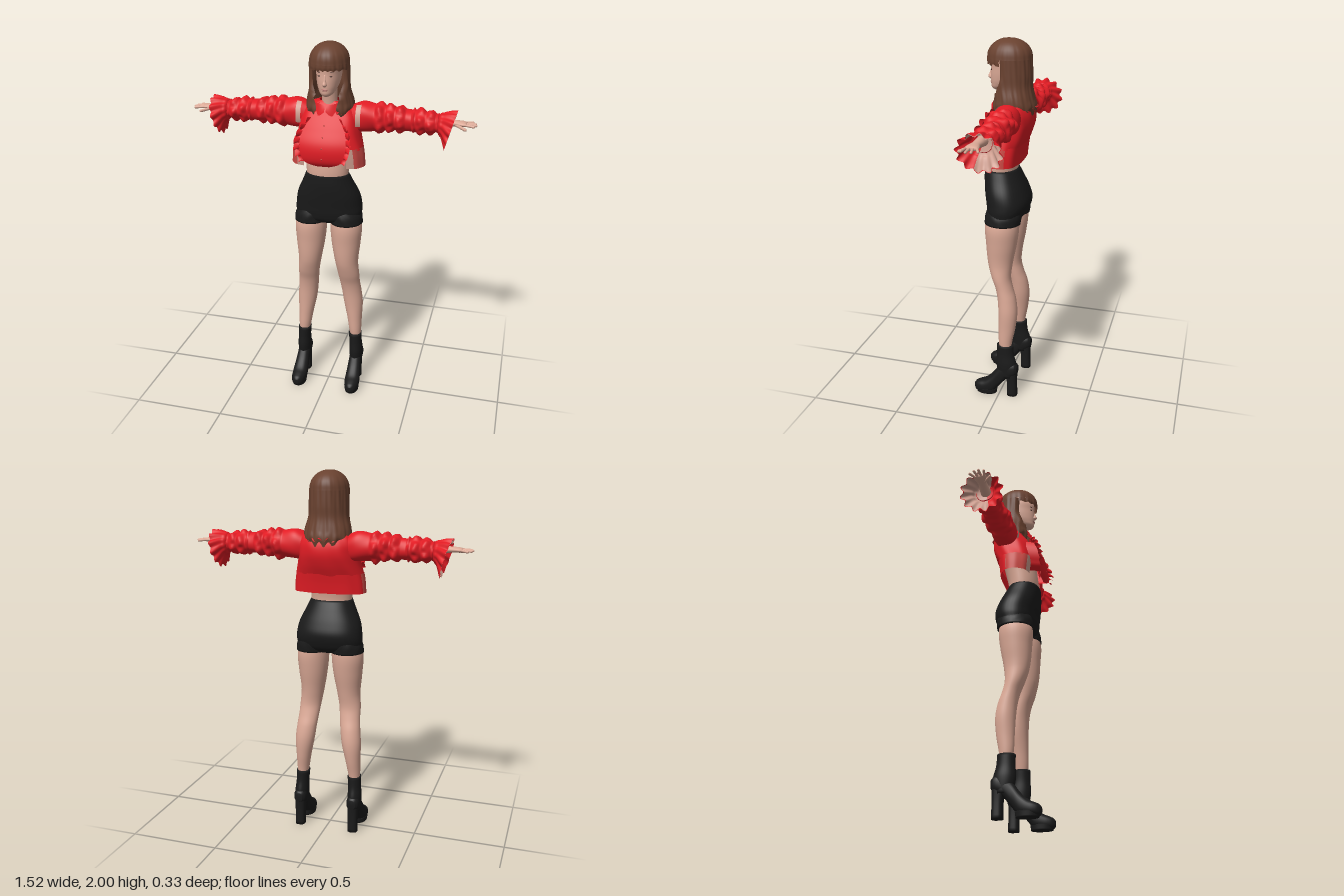
import * as THREE from 'three';

const TAU = Math.PI * 2, RAD = Math.PI / 180;
const mat = (name, color, double) => {
  const m = new THREE.MeshStandardMaterial({ color });
  m.name = name;
  if (double) m.side = THREE.DoubleSide;
  return m;
};

function finish(pos, idx) {
  const g = new THREE.BufferGeometry();
  g.setAttribute('position', new THREE.Float32BufferAttribute(pos, 3));
  g.setIndex(idx);
  g.computeVertexNormals();
  return g;
}

// Smooth interpolation of rows keyed by their first value
function curve(rows) {
  const it = new THREE.CubicInterpolant(rows.map(r => r[0]), rows.flatMap(r => r.slice(1)), rows[0].length - 1);
  return t => Array.from(it.evaluate(t));
}

// Loft of elliptic sections along an axis; rows: [t, centre1, centre2, radius1, radius2], t increasing
function loft(axis, rows, { n = 32, k = 5, from, to, e = 1, wob, caps = true } = {}) {
  const at = curve(rows), ts = [], pos = [], idx = [], open = !!from;
  rows.forEach((r, i) => {
    if (i) for (let j = 1; j <= k; j++) ts.push(THREE.MathUtils.lerp(rows[i - 1][0], r[0], j / k));
    else ts.push(r[0]);
  });
  const pow = v => Math.sign(v) * Math.abs(v) ** e;
  const put = (t, p, q) => pos.push(...(axis === 'y' ? [p, t, q] : axis === 'x' ? [t, p, q] : [p, q, t]));
  const m = open ? n + 1 : n;
  const tri = (a, b, c) => axis === 'y' ? idx.push(a, b, c) : idx.push(a, c, b);
  for (const t of ts) {
    const [c1, c2, r1, r2] = at(t), a0 = open ? from(t) : 0, a1 = open ? to(t) : TAU;
    for (let j = 0; j < m; j++) {
      const a = a0 + (a1 - a0) * j / n, f = wob ? wob(a, t, j / n) : 1;
      put(t, c1 + r1 * f * pow(Math.sin(a)), c2 + r2 * f * pow(Math.cos(a)));
    }
  }
  for (let i = 0; i < ts.length - 1; i++) for (let j = 0; j < n; j++) {
    const a = i * m + j, b = i * m + (j + 1) % m;
    tri(a, b, a + m); tri(b, b + m, a + m);
  }
  if (caps && !open) [0, ts.length - 1].forEach((i, end) => {
    const [c1, c2] = at(ts[i]), c = pos.length / 3;
    put(ts[i], c1, c2);
    for (let j = 0; j < n; j++) {
      const a = i * m + j, b = i * m + (j + 1) % n;
      end ? tri(c, a, b) : tri(c, b, a);
    }
  });
  return finish(pos, idx);
}

// Open surface from a rule (u, v) -> [x, y, z]
function sheet(nu, nv, rule) {
  const pos = [], idx = [];
  for (let i = 0; i <= nu; i++) for (let j = 0; j <= nv; j++) pos.push(...rule(i / nu, j / nv));
  for (let i = 0; i < nu; i++) for (let j = 0; j < nv; j++) {
    const a = i * (nv + 1) + j, b = a + nv + 1;
    idx.push(a, a + 1, b, b, a + 1, b + 1);
  }
  return finish(pos, idx);
}

function mirrored(geo) {
  const g = geo.clone().scale(-1, 1, 1), ix = g.index;
  for (let i = 0; i < ix.count; i += 3) {
    const a = ix.getX(i);
    ix.setX(i, ix.getX(i + 1)); ix.setX(i + 1, a);
  }
  g.computeVertexNormals();
  return g;
}

// Capsule between two points
function capsule(a, b, r) {
  const p = new THREE.Vector3(...a), d = new THREE.Vector3(...b).sub(p), len = d.length();
  const q = new THREE.Quaternion().setFromUnitVectors(new THREE.Vector3(0, 1, 0), d.clone().normalize());
  return new THREE.CapsuleGeometry(r, len, 4, 10).applyQuaternion(q).translate(...p.addScaledVector(d, 0.5).toArray());
}
const blob = (x, y, z, rx, ry, rz) => new THREE.SphereGeometry(1, 16, 10).scale(rx, ry, rz).translate(x, y, z);

export function createModel() {
  const model = new THREE.Group();
  const skin = mat('skin', 0xdba996), black = mat('black fabric', 0x1a1a1a), hair = mat('brown hair', 0x6a4230, true);
  const red = mat('red fabric', 0xe11c24, true);
  const sheer = mat('sheer fabric', 0xcf9f90, true), sheerRed = mat('sheer red fabric', 0xcf4a45, true);
  const dark = mat('dark detail', 0x4a3028), lip = mat('lips', 0xbd7c74);
  const add = (name, geo, m) => {
    const o = new THREE.Mesh(geo, m);
    o.name = name;
    model.add(o);
  };
  const pair = (name, geo, m) => { add('left' + name, geo, m); add('right' + name, mirrored(geo), m); };

  // Legs, torso and neck
  pair('Leg', loft('y', [[0.28, 0.155, -0.035, 0.026, 0.03], [0.33, 0.152, -0.033, 0.033, 0.037], [0.42, 0.145, -0.04, 0.042, 0.047],
    [0.52, 0.136, -0.043, 0.054, 0.053], [0.6, 0.127, -0.034, 0.056, 0.051], [0.66, 0.12, -0.018, 0.057, 0.048],
    [0.72, 0.115, 0, 0.06, 0.053], [0.8, 0.105, 0.008, 0.064, 0.068], [0.92, 0.1, 0.003, 0.08, 0.085], [1.02, 0.098, 0, 0.086, 0.093],
    [1.1, 0.088, -0.005, 0.07, 0.08]]), skin);
  add('torso', loft('y', [[1.28, 0, 0.022, 0.11, 0.08], [1.34, 0, 0.022, 0.114, 0.083], [1.42, 0, 0.01, 0.118, 0.088],
    [1.52, 0, -0.01, 0.13, 0.09], [1.62, 0, -0.045, 0.1, 0.06]]), skin);
  add('neck', loft('y', [[1.58, 0, -0.04, 0.05, 0.05], [1.68, 0, -0.025, 0.041, 0.043], [1.78, 0, -0.01, 0.042, 0.045]]), skin);

  // Shorts
  add('shortsHips', loft('y', [[1.035, 0, -0.008, 0.1, 0.06], [1.055, 0, -0.008, 0.165, 0.088], [1.09, 0, -0.012, 0.181, 0.106],
    [1.14, 0, -0.015, 0.18, 0.116], [1.2, 0, -0.003, 0.168, 0.112], [1.27, 0, 0.015, 0.136, 0.1], [1.32, 0, 0.027, 0.114, 0.088]],
    { n: 48, e: 0.88 }), black);
  pair('ShortsLeg', loft('y', [[1.035, 0.099, -0.003, 0.09, 0.097], [1.08, 0.094, -0.007, 0.088, 0.099], [1.12, 0.08, -0.012, 0.078, 0.09],
    [1.16, 0.075, -0.01, 0.05, 0.06]], { wob: (a, t) => 1 + 0.008 * Math.sin(9 * a + t * 90) }), black);

  // Heeled ankle boots
  pair('BootShaft', loft('y', [[0.12, 0.157, -0.045, 0.034, 0.048], [0.2, 0.157, -0.04, 0.038, 0.058], [0.26, 0.155, -0.034, 0.035, 0.049],
    [0.32, 0.152, -0.032, 0.037, 0.047]]), black);
  pair('BootFoot', loft('z', [[-0.106, 0.157, 0.17, 0.02, 0.025], [-0.09, 0.157, 0.17, 0.033, 0.04], [-0.04, 0.157, 0.155, 0.036, 0.056],
    [0, 0.157, 0.115, 0.036, 0.064], [0.04, 0.158, 0.066, 0.041, 0.06], [0.08, 0.159, 0.044, 0.042, 0.043], [0.12, 0.16, 0.035, 0.034, 0.034],
    [0.138, 0.16, 0.033, 0.023, 0.026], [0.147, 0.16, 0.033, 0.01, 0.014]], { e: 0.85 }), black);
  pair('BootSole', loft('y', [[0, 0.159, 0.076, 0.038, 0.058], [0.03, 0.159, 0.078, 0.041, 0.064]], { e: 0.95 }), black);
  pair('BootHeel', loft('y', [[0, 0.157, -0.075, 0.028, 0.029], [0.09, 0.157, -0.073, 0.028, 0.029], [0.18, 0.157, -0.065, 0.033, 0.04]], { e: 0.75 }), black);

  // Head and face
  add('head', loft('y', [[1.735, 0, 0.05, 0.012, 0.014], [1.743, 0, 0.043, 0.027, 0.034], [1.77, 0, 0.018, 0.047, 0.066],
    [1.81, 0, -0.004, 0.06, 0.09], [1.85, 0, -0.014, 0.065, 0.098], [1.89, 0, -0.015, 0.067, 0.1], [1.95, 0, -0.015, 0.055, 0.075]]), skin);
  add('nose', loft('y', [[1.788, 0, 0.082, 0.005, 0.004], [1.796, 0, 0.083, 0.012, 0.015], [1.803, 0, 0.083, 0.012, 0.018],
    [1.818, 0, 0.08, 0.008, 0.014], [1.85, 0, 0.077, 0.006, 0.007]], { n: 20 }), skin);
  add('upperLip', blob(0, 1.776, 0.083, 0.016, 0.0035, 0.005), lip);
  add('lowerLip', blob(0, 1.77, 0.081, 0.013, 0.004, 0.005), lip);
  pair('Eye', blob(0.028, 1.842, 0.073, 0.011, 0.0035, 0.004), dark);
  pair('Brow', blob(0.029, 1.862, 0.073, 0.013, 0.002, 0.004), dark);

  // Hair: crown, fringe, then long lengths open around the face
  const strand = (a, t) => 1 + Math.min(1, (2 - t) * 10) * (0.012 * Math.sin(16 * a + 14 * t) + 0.008 * Math.sin(29 * a));
  add('hairCrown', loft('y', [[1.9, 0, -0.015, 0.103, 0.117], [1.93, 0, -0.015, 0.098, 0.113], [1.955, 0, -0.015, 0.087, 0.101],
    [1.98, 0, -0.015, 0.064, 0.074], [1.992, 0, -0.014, 0.042, 0.05], [1.998, 0, -0.013, 0.022, 0.027], [2, 0, -0.013, 0.0005, 0.0005]],
    { n: 90, caps: false, wob: strand }), hair);
  const fringe = loft('y', [[1.872, 0, -0.016, 0.104, 0.115], [1.885, 0, -0.015, 0.104, 0.117], [1.9, 0, -0.015, 0.103, 0.117]],
    { n: 60, from: () => -75 * RAD, to: () => 75 * RAD, wob: strand });
  const gap = curve([[1.63, 30], [1.68, 27], [1.74, 42], [1.8, 68], [1.84, 72], [1.9, 70]]);
  const lengths = loft('y', [[1.63, 0, -0.042, 0.116, 0.11], [1.66, 0, -0.04, 0.126, 0.117], [1.7, 0, -0.038, 0.123, 0.109], [1.76, 0, -0.026, 0.108, 0.108],
    [1.82, 0, -0.018, 0.105, 0.117], [1.9, 0, -0.015, 0.103, 0.117]], {
    n: 90, from: t => gap(t)[0] * RAD, to: t => TAU - gap(t)[0] * RAD,
    wob: (a, t, s) => strand(a, t) * (1 - (t < 1.73 ? 0.05 : 0.18) * Math.max(0, 1 - Math.min(s, 1 - s) / 0.07) ** 2)
  });
  // Uneven tips
  const ragged = (g, top, size, freq) => {
    const p = g.attributes.position;
    for (let i = 0; i < p.count; i++) p.setY(i, p.getY(i) + Math.max(0, top - p.getY(i)) * size * Math.sin(p.getX(i) * freq));
    g.computeVertexNormals();
    return g;
  };
  add('hairFringe', ragged(fringe, 1.9, 0.12, 240), hair);
  add('hairLengths', ragged(lengths, 1.7, 0.2, 130), hair);

  // Cropped blouse: bodice, hem at the back and sides, sheer towards the front
  add('bodice', loft('y', [[1.46, 0, 0, 0.184, 0.104], [1.52, 0, -0.015, 0.168, 0.115], [1.58, 0, -0.03, 0.157, 0.115],
    [1.64, 0, -0.046, 0.148, 0.09], [1.68, 0, -0.045, 0.112, 0.066], [1.7, 0, -0.035, 0.055, 0.045]],
    { n: 64, e: 0.78, caps: false, wob: (a, t) => 1 + 0.012 * Math.sin(9 * a + 20 * t) }), red);
  const hem = (a0, a1) => loft('y', [[1.365, 0, 0, 0.195, 0.092], [1.42, 0, 0, 0.191, 0.099], [1.47, 0, -0.002, 0.183, 0.106]],
    { n: 30, e: 0.75, from: () => a0 * RAD, to: () => a1 * RAD, wob: a => 1 + 0.012 * Math.sin(9 * a) });
  add('backHem', hem(105, 255), red);
  pair('SideHem', hem(46, 105), sheerRed);
  pair('FrontHem', hem(30, 46), sheer);

  // Front bib with side folds, ruffled border, buttons and collar
  const bib = curve([[1.383, 0.035, 0.128], [1.4, 0.083, 0.142], [1.44, 0.11, 0.152], [1.5, 0.122, 0.146], [1.57, 0.108, 0.113], [1.66, 0.05, 0.062]]);
  const bibPoint = (y, s) => {
    const [w, z] = bib(y), x = w * s;
    return [x, y, z - 0.9 * x * x];
  };
  add('bib', sheet(30, 20, (u, v) => bibPoint(1.383 + 0.277 * u, v * 2 - 1)), red);
  pair('BibFold', sheet(20, 4, (u, v) => {
    const [x, y, z] = bibPoint(1.395 + 0.17 * u, 1);
    return [x + 0.01 * v, y + 0.012 * v, z - 0.075 * v];
  }), red);
  pair('BibRuffle', sheet(90, 5, (u, v) => {
    const [x, y, z] = bibPoint(1.405 + 0.23 * u, 1), size = 0.3 + 0.7 * Math.sin(Math.PI * Math.min(1, u * 0.85 + 0.15));
    return [x + 0.026 * v * size, y + 0.01 * v * Math.cos(u * 47), z + v * (0.014 + 0.016 * Math.sin(u * 42)) * size];
  }), red);
  for (let i = 0; i < 4; i++) {
    const [, y, z] = bibPoint(1.43 + 0.055 * i, 0);
    add('button' + (i + 1), blob(0, y, z + 0.001, 0.004, 0.004, 0.003), sheerRed);
  }
  pair('CollarFlap', sheet(6, 6, (u, v) => [0.004 + 0.066 * u, 1.69 + 0.012 * u - v * (0.03 + 0.03 * Math.sin(u * 2.6)), 0.062 - 0.03 * u * u + 0.02 * v]), red);
  add('collarRuffle', sheet(160, 4, (u, v) => {
    const a = (40 + 280 * u) * RAD, r = 0.068 + 0.045 * v + 0.006 * v * Math.sin(a * 19);
    return [r * Math.sin(a), 1.692 - 0.04 * v + 0.009 * v * Math.sin(a * 15), -0.042 + r * 1.03 * Math.cos(a)];
  }), red);

  // Gathered sleeves with a sheer strip on the front of the shoulder
  const gather = x => (x > 0.24 && x < 0.395) || (x > 0.435 && x < 0.565) ? Math.abs(Math.sin((x - 0.24) * 60)) : 0;
  pair('Sleeve', loft('x', [[0.11, 1.605, -0.045, 0.07, 0.06], [0.17, 1.617, -0.047, 0.08, 0.07], [0.25, 1.615, -0.048, 0.068, 0.062],
    [0.34, 1.617, -0.05, 0.058, 0.062], [0.42, 1.612, -0.05, 0.055, 0.055], [0.5, 1.61, -0.048, 0.052, 0.056], [0.568, 1.608, -0.045, 0.045, 0.045]],
    { n: 48, k: 14, caps: false, wob: (a, x) => 1 + gather(x) * (0.24 + 0.1 * Math.sin(5 * a + 40 * x) + 0.05 * Math.sin(9 * a - 70 * x)) + 0.025 * Math.sin(4 * a + 30 * x) }), red);
  pair('ShoulderStrip', loft('x', [[0.146, 1.612, -0.046, 0.083, 0.076], [0.172, 1.615, -0.046, 0.084, 0.077]],
    { k: 2, from: () => -25 * RAD, to: () => 60 * RAD }), sheer);

  // Flared pleated cuffs, with a paler lining set just inside
  const cuff = (a0, a1, size) => {
    const g = loft('x', [[0.558, 1.61, -0.045, 0.018, 0.018], [0.566, 1.606, -0.045, 0.046, 0.046], [0.59, 1.6, -0.045, 0.064, 0.067],
      [0.62, 1.585, -0.045, 0.085, 0.092], [0.645, 1.574, -0.045, 0.095, 0.108]],
      { n: 96, from: () => a0 * RAD, to: () => a1 * RAD, wob: (a, x) => size + (x - 0.558) * 1.1 * Math.sin(12 * a) });
    const p = g.attributes.position;
    for (let i = 0; i < p.count; i++) {
      const x = p.getX(i);
      p.setX(i, x + (p.getY(i) - 1.63) * 0.28 * (x - 0.558) / 0.087);
    }
    g.computeVertexNormals();
    return g;
  };
  pair('Cuff', cuff(0, 360, 1), red);
  pair('CuffLining', cuff(50, 290, 0.965), sheer);

  // Forearms, hands and fingers
  pair('Forearm', loft('x', [[0.5, 1.615, -0.045, 0.032, 0.032], [0.6, 1.617, -0.04, 0.023, 0.025], [0.645, 1.618, -0.036, 0.016, 0.023],
    [0.675, 1.618, -0.034, 0.014, 0.031], [0.7, 1.617, -0.034, 0.011, 0.033], [0.708, 1.617, -0.034, 0.006, 0.028]], { n: 20 }), skin);
  [[-0.058, -0.076, 0.735], [-0.042, -0.049, 0.75], [-0.026, -0.024, 0.754], [-0.01, 0.001, 0.744]].forEach(([z0, z1, tip], i) =>
    pair('Finger' + (i + 1), capsule([0.695, 1.618, z0], [tip, 1.614, z1], 0.0066), skin));
  pair('Thumb', capsule([0.658, 1.612, -0.016], [0.705, 1.602, 0.022], 0.0078), skin);

  return model;
}
